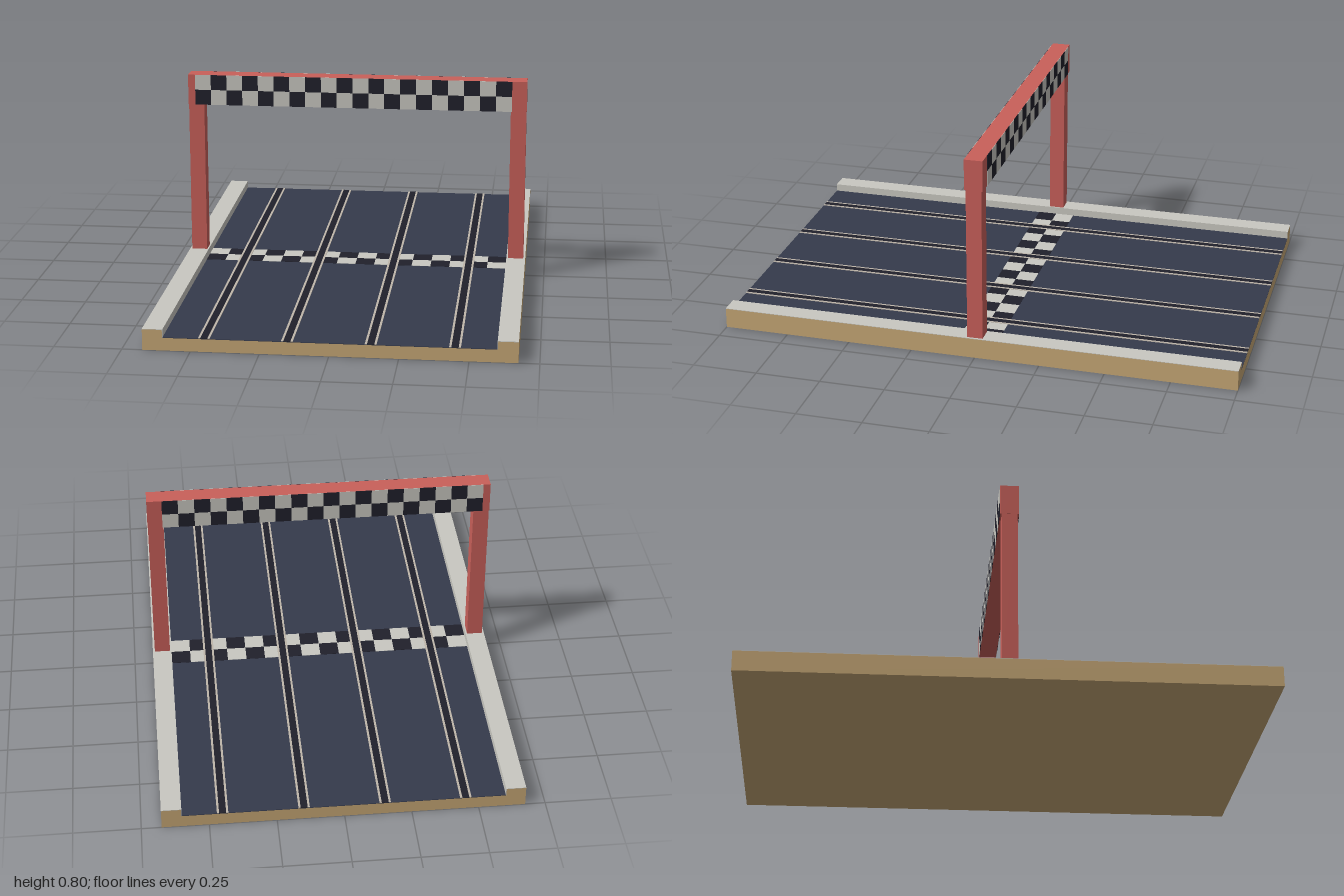
import * as THREE from 'three';

const mat = (name, color) => {
  const m = new THREE.MeshStandardMaterial({ color });
  m.name = name;
  return m;
};

export function createModel() {
  const wood = mat('wood', 0xc7a876);
  const asphalt = mat('asphalt', 0x353a4b);
  const dark = mat('dark', 0x20202b);
  const light = mat('light', 0xc9c8c1);
  const rail = mat('rail', 0xbfb6aa);
  const red = mat('red', 0xc9605a);

  const model = new THREE.Group();
  model.name = 'trackSection';

  // Box given by its limits on each axis
  const box = (parent, name, material, [x0, x1], [y0, y1], [z0, z1]) => {
    const mesh = new THREE.Mesh(new THREE.BoxGeometry(x1 - x0, y1 - y0, z1 - z0), material);
    mesh.position.set((x0 + x1) / 2, (y0 + y1) / 2, (z0 + z1) / 2);
    mesh.name = name;
    parent.add(mesh);
    return mesh;
  };
  const group = (name) => {
    const g = new THREE.Group();
    g.name = name;
    model.add(g);
    return g;
  };

  // Base: a shallow channel extruded along the track
  const W = 0.675, R = 0.6, roadY = 0.05, kerbY = 0.08, skin = 0.002;
  const profile = new THREE.Shape([
    [-W, 0], [W, 0], [W, kerbY - skin], [R + skin, kerbY - skin], [R + skin, roadY - skin],
    [-R - skin, roadY - skin], [-R - skin, kerbY - skin], [-W, kerbY - skin],
  ].map(([x, y]) => new THREE.Vector2(x, y)));
  const baseGeo = new THREE.ExtrudeGeometry(profile, { depth: 2, bevelEnabled: false });
  baseGeo.translate(0, 0, -1);
  const base = new THREE.Mesh(baseGeo, wood);
  base.name = 'base';
  model.add(base);

  // Road surface
  box(model, 'road', asphalt, [-R, R], [roadY - skin, roadY], [-1, 1]);

  // Kerb skins (top and inner side) and gantry posts, mirrored
  for (const s of [-1, 1]) {
    const span = (a, b) => (s > 0 ? [a, b] : [-b, -a]);
    box(model, 'kerbTop', light, span(R, W), [kerbY - skin, kerbY], [-1, 1]);
    box(model, 'kerbSide', light, span(R, R + skin), [roadY - skin, kerbY - skin], [-1, 1]);
    box(model, 'post', red, span(0.606, 0.667), [kerbY, 0.68], [-0.03, 0.03]);
  }

  // Chequered finish line on the road
  const finish = group('finishLine');
  for (let i = 0; i < 16; i++) {
    for (let j = 0; j < 2; j++) {
      const x = -R + i * 0.075, z = -0.075 + j * 0.075;
      box(finish, 'finishSquare', (i + j) % 2 ? dark : light,
        [x, x + 0.075], [roadY, roadY + 0.001], [z, z + 0.075]);
    }
  }

  // Four lanes: a dark slot between two rails
  const lanes = group('lanes');
  for (const x of [-0.45, -0.15, 0.15, 0.45]) {
    box(lanes, 'slot', dark, [x - 0.013, x + 0.013], [roadY, roadY + 0.002], [-1, 1]);
    for (const s of [-1, 1]) {
      const c = x + s * 0.017;
      box(lanes, 'rail', rail, [c - 0.004, c + 0.004], [roadY, roadY + 0.0025], [-1, 1]);
    }
  }

  // Gantry beam with chequered panels on both faces
  box(model, 'beam', red, [-0.668, 0.668], [0.68, 0.8], [-0.0355, 0.0355]);
  const banner = group('banner');
  for (let i = 0; i < 20; i++) {
    for (let j = 0; j < 2; j++) {
      const x = -0.64 + i * 0.0625, y = 0.74 - j * 0.06;
      for (const z of [[0.0355, 0.037], [-0.037, -0.0355]]) {
        box(banner, 'bannerSquare', (i + j) % 2 ? dark : light, [x, x + 0.0625], [y, y + 0.06], z);
      }
    }
  }
  return model;
}
